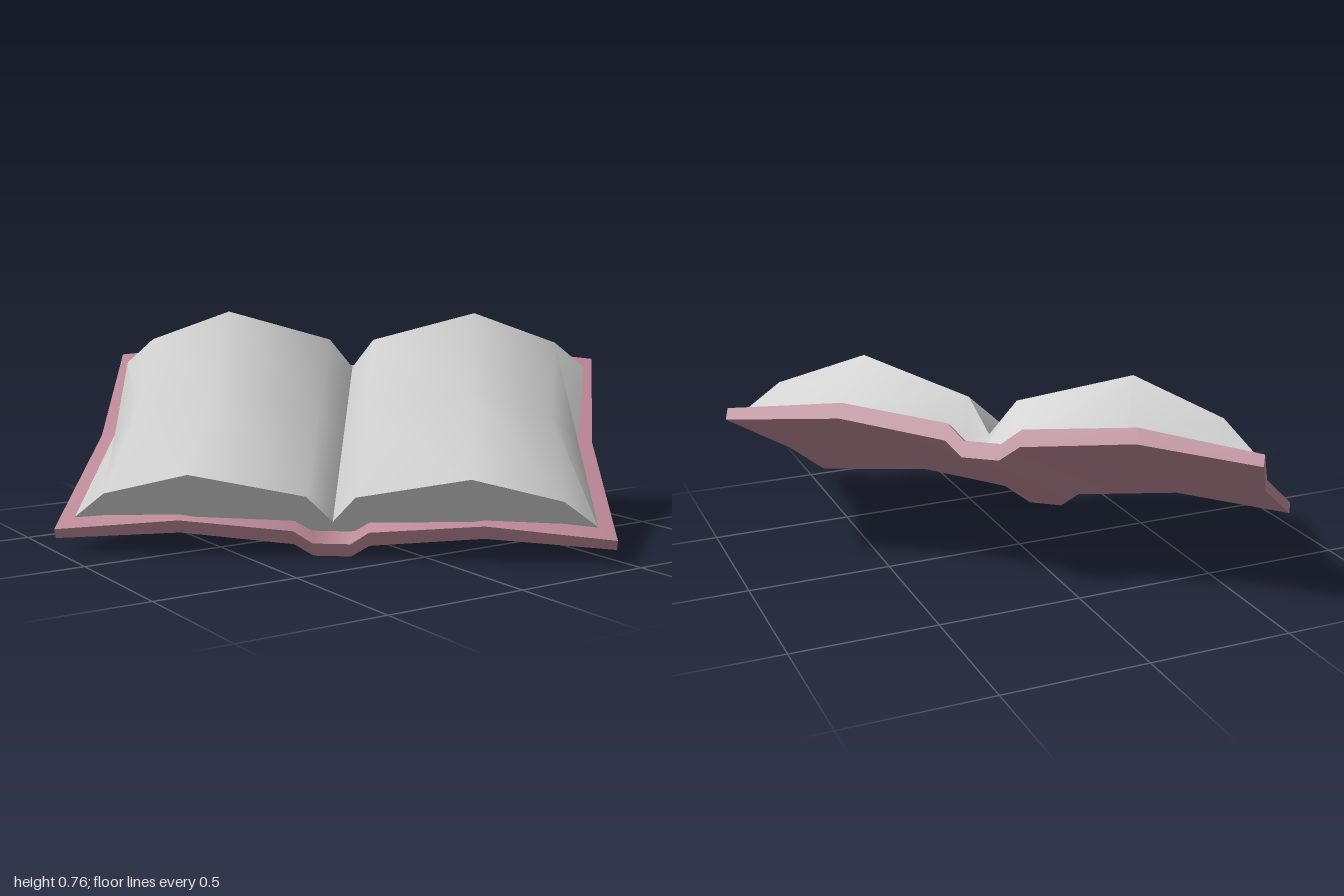
import * as THREE from 'three';
import { toCreasedNormals } from 'three/addons/utils/BufferGeometryUtils.js';

// Mirror a half profile (listed from the centre outwards) to run left to right.
// Each entry: [u, top height, bottom height, front inset, back position, width at middle, width at back]
function mirror(half) {
  const left = half.filter(p => p[0] > 0).reverse().map(p => {
    const q = p.slice();
    for (const k of [0, 5, 6]) q[k] = -q[k];
    return q;
  });
  return [...left, ...half];
}

// Slab with a shaped top and bottom, lofted through three rows from front to back.
function slab(half) {
  const profile = mirror(half);
  const rows = [0, 1, 2].map(r => {
    const point = (p, y) => {
      const u = [p[0], p[5], p[6]][r];
      const v = p[3] + (p[4] - p[3]) * r / 2;
      return [u, y, -v];
    };
    return {
      bottom: profile.map(p => point(p, p[2])),
      top: profile.map(p => point(p, p[1])),
    };
  });
  const positions = [];
  const quad = (a, b, c, d) => positions.push(...a, ...b, ...c, ...a, ...c, ...d);

  // Outer skin
  for (let r = 0; r < 2; r++) {
    const near = [...rows[r].bottom, ...rows[r].top.slice().reverse()];
    const far = [...rows[r + 1].bottom, ...rows[r + 1].top.slice().reverse()];
    near.forEach((p, i) => {
      const j = (i + 1) % near.length;
      quad(p, far[i], far[j], near[j]);
    });
  }
  // Front and back ends
  const [f, , b] = rows;
  for (let i = 0; i < profile.length - 1; i++) {
    quad(f.bottom[i], f.bottom[i + 1], f.top[i + 1], f.top[i]);
    quad(b.bottom[i + 1], b.bottom[i], b.top[i], b.top[i + 1]);
  }
  const geometry = new THREE.BufferGeometry();
  geometry.setAttribute('position', new THREE.Float32BufferAttribute(positions, 3));
  return toCreasedNormals(geometry, 0.75);
}

export function createModel() {
  const group = new THREE.Group();
  group.name = 'openBook';

  const book = new THREE.Group();
  book.name = 'tiltedBook';

  // Cover: sunken spine, gently arched boards, sides pinched at the middle
  const cover = new THREE.Mesh(
    slab([
      [0.063, 0.055, 0.0, 0, 1.02, 0.063, 0.063],
      [0.126, 0.108, 0.05, 0, 1.02, 0.126, 0.126],
      [0.505, 0.146, 0.092, 0, 1.02, 0.495, 0.5],
      [0.935, 0.095, 0.055, 0, 1.02, 0.88, 0.905],
    ]),
    new THREE.MeshStandardMaterial({ color: 0xb98594 })
  );
  cover.name = 'cover';

  // Pages: two arched blocks meeting in a deep central fold
  const pages = new THREE.Mesh(
    slab([
      [0, 0.095, 0.05, 0.065, 0.95, 0, 0],
      [0.082, 0.212, 0.065, 0.055, 0.965, 0.082, 0.082],
      [0.46, 0.322, 0.135, 0.025, 0.985, 0.455, 0.46],
      [0.76, 0.21, 0.108, 0.055, 0.96, 0.735, 0.76],
      [0.875, 0.103, 0.085, 0.055, 0.955, 0.83, 0.872],
    ]),
    new THREE.MeshStandardMaterial({ color: 0xcccccc })
  );
  pages.name = 'pages';

  // Lean the book back and turn it
  book.add(cover, pages);
  book.rotation.set(0.511, -0.671, 0, 'YXZ');
  book.position.set(-0.25, 0, 0.32);
  group.add(book);
  return group;
}
